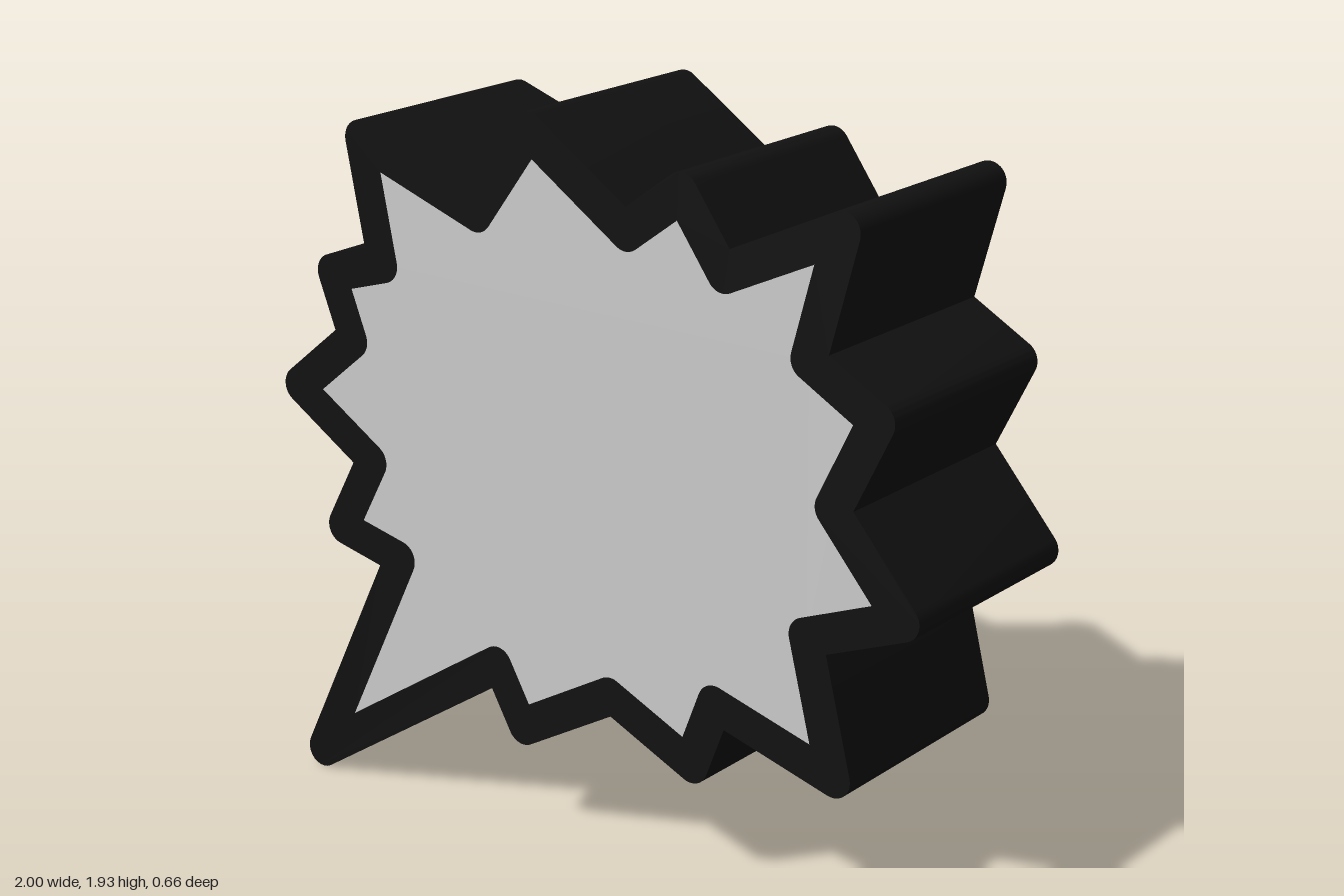
import * as THREE from 'three';
import { toCreasedNormals } from 'three/addons/utils/BufferGeometryUtils.js';

const HALF_WIDTH = 0.05; // half the width of the rim
const DEPTH = 0.66;

// Centre line of the rim, clockwise from the tip of the tail
const path = [
  [-0.91, 0.05], [-0.61, 0.67], [-0.81, 0.72], [-0.70, 0.925], [-0.95, 1.09],
  [-0.755, 1.25], [-0.82, 1.42], [-0.645, 1.47], [-0.71, 1.79], [-0.33, 1.65],
  [-0.16, 1.88], [0.14, 1.67], [0.305, 1.79], [0.43, 1.61], [0.765, 1.76],
  [0.675, 1.435], [0.87, 1.32], [0.75, 1.08], [0.95, 0.84], [0.68, 0.74],
  [0.765, 0.39], [0.41, 0.50], [0.34, 0.32], [0.085, 0.445], [-0.20, 0.29],
  [-0.285, 0.445],
].map(([x, y]) => new THREE.Vector2(x, y));

// Parallel outline: round where the corner opens away, mitred where it closes
function offsetOutline(points, distance) {
  const n = points.length;
  const out = [];
  points.forEach((p, i) => {
    const a = p.clone().sub(points[(i + n - 1) % n]).normalize();
    const b = points[(i + 1) % n].clone().sub(p).normalize();
    const n1 = new THREE.Vector2(-a.y, a.x).multiplyScalar(distance);
    const n2 = new THREE.Vector2(-b.y, b.x).multiplyScalar(distance);
    const turn = a.cross(b);
    if (turn * distance < 0) {
      const sweep = Math.atan2(n1.cross(n2), n1.dot(n2));
      const steps = 10;
      for (let k = 0; k <= steps; k++) {
        out.push(n1.clone().rotateAround(new THREE.Vector2(), (sweep * k) / steps).add(p));
      }
    } else {
      const miter = n1.clone().add(n2);
      miter.multiplyScalar((2 * distance * distance) / miter.lengthSq());
      out.push(miter.add(p));
    }
  });
  return out;
}

function slab(name, shape, depth, color) {
  const geometry = new THREE.ExtrudeGeometry(shape, { depth, bevelEnabled: false });
  geometry.translate(0, 0, -depth / 2);
  const mesh = new THREE.Mesh(
    toCreasedNormals(geometry, Math.PI / 6),
    new THREE.MeshStandardMaterial({ color })
  );
  mesh.name = name;
  return mesh;
}

export function createModel() {
  const group = new THREE.Group();
  group.name = 'spikySpeechBubble';

  // Dark rim with rounded spikes
  const rim = new THREE.Shape(offsetOutline(path, HALF_WIDTH));
  rim.holes.push(new THREE.Path(offsetOutline(path, -HALF_WIDTH)));
  group.add(slab('rim', rim, DEPTH, 0x111111));

  // Grey panel filling the rim, almost flush front and back
  group.add(slab('panel', new THREE.Shape(path), DEPTH - 0.006, 0xcccccc));

  return group;
}
